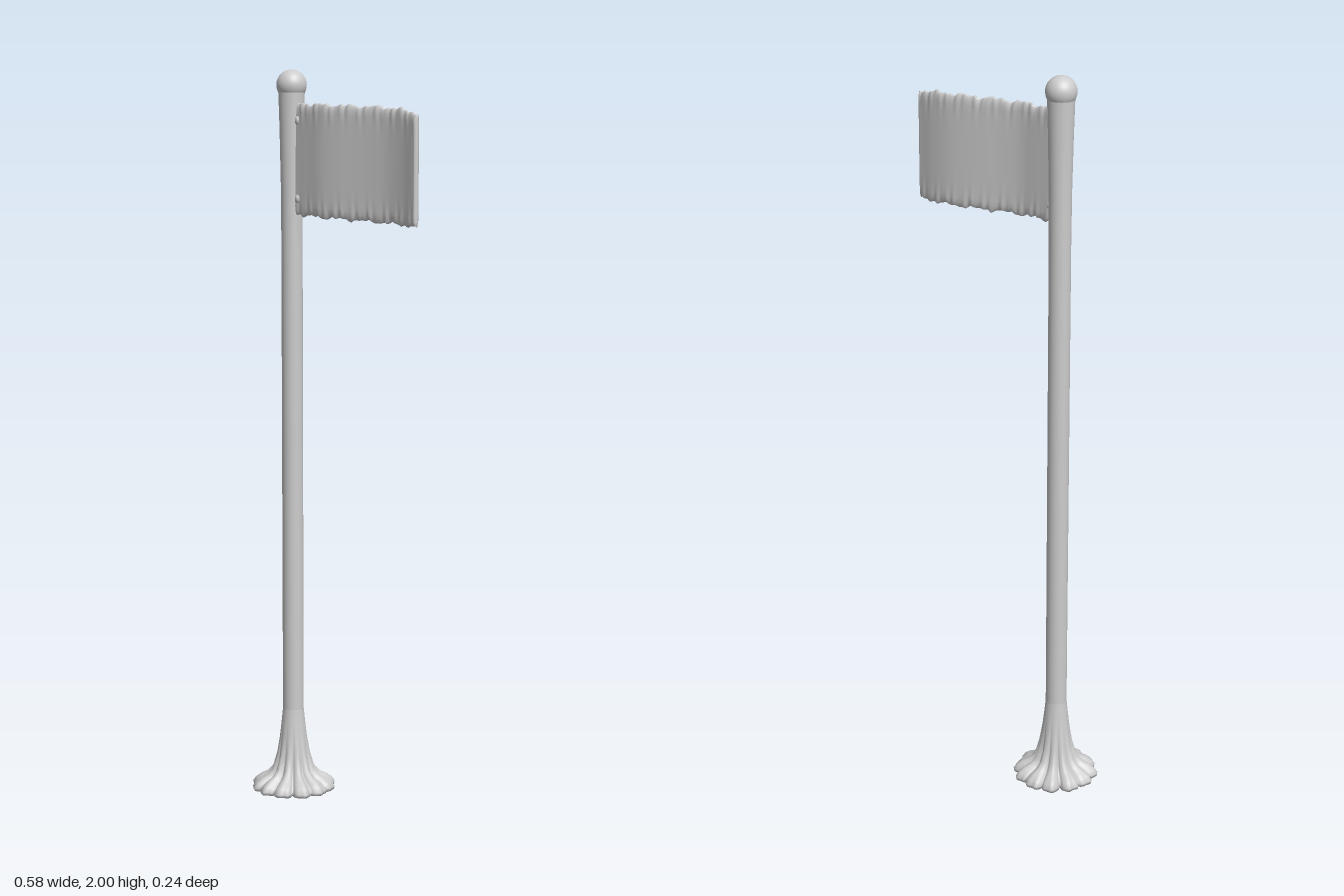
import * as THREE from 'three';
import { mergeVertices } from 'three/addons/utils/BufferGeometryUtils.js';

const POLE_X = -0.172, POLE_Z = -0.003;
const v2 = (p) => new THREE.Vector2(...p);

// Lofts a surface from closed rings: point(i, j) gives [x, y, z]
function loft(rings, sides, point) {
  const pos = [], index = [];
  for (let i = 0; i < rings; i++)
    for (let j = 0; j < sides; j++) pos.push(...point(i, j));
  for (let i = 0; i < rings - 1; i++)
    for (let j = 0; j < sides; j++) {
      const k = (j + 1) % sides;
      const a = i * sides + j, b = i * sides + k, c = a + sides, d = b + sides;
      index.push(a, c, b, b, c, d);
    }
  const geo = new THREE.BufferGeometry();
  geo.setAttribute('position', new THREE.Float32BufferAttribute(pos, 3));
  geo.setIndex(index);
  geo.computeVertexNormals();
  return geo;
}

// Petal outline: 12 pointed lobes with deeper notches on the diagonals
function petal(a) {
  const lobe = Math.pow(Math.abs(Math.cos(6 * a)), 0.5);
  const diagonal = Math.pow(Math.abs(Math.sin(2 * a)), 14);
  const frill = 0.025 * Math.sin(17 * a) + 0.015 * Math.sin(29 * a + 1);
  return 0.86 + 0.14 * lobe - 0.1 * diagonal * (1 - lobe) + frill * 0.7;
}

// Flared foot, round at the pole and scalloped at the rim
function footGeometry() {
  // radius, height, share of the petal outline
  const rows = [[0.029, 0.23, 0], [0.032, 0.2, 0], [0.038, 0.15, 0.1], [0.047, 0.1, 0.2], [0.059, 0.06, 0.4],
    [0.074, 0.043, 0.6], [0.092, 0.034, 0.85], [0.108, 0.022, 1], [0.117, 0.009, 1], [0.115, 0, 1],
    [0.09, 0.002, 1], [0.05, 0.004, 0.5], [0, 0.005, 0]];
  const sides = 144;
  return loft(rows.length, sides, (i, j) => {
    const [r, y, share] = rows[i];
    const a = -(j / sides) * Math.PI * 2;
    const k = 1 + share * (petal(a) - 1);
    // notches between petals sink towards the ground
    const sink = i > 2 && i < 8 ? 0.75 + 0.25 * Math.abs(Math.cos(6 * a)) : 1;
    return [r * k * Math.cos(a), y * sink, r * k * Math.sin(a)];
  });
}

// Waving cloth slab with ragged upper and lower edges
function flagGeometry() {
  const x0 = -0.152, x1 = 0.29, t = 0.0165;
  const wave = new THREE.SplineCurve([[-0.152, 0.001], [-0.08, 0.004], [0, 0.007], [0.05, 0.001], [0.1, -0.009],
    [0.15, -0.018], [0.2, -0.0235], [0.25, -0.021], [0.29, -0.012]].map(v2));
  let geo = new THREE.BoxGeometry(1, 1, 1, 90, 24, 4);
  geo.deleteAttribute('uv');
  geo.deleteAttribute('normal');
  geo = mergeVertices(geo);
  const p = geo.attributes.position;
  for (let i = 0; i < p.count; i++) {
    const u = p.getX(i) + 0.5, v = p.getY(i) * 2, w = p.getZ(i) * 2;
    const c = wave.getPoint(u);
    const rag = (s) => 0.003 * Math.sin(u * 31 + s) + 0.002 * Math.sin(u * 67 + 2 * s) + 0.0015 * Math.sin(u * 113 + s);
    const top = 1.911 - 0.008 * u - 0.013 * Math.pow(u, 8) + rag(0.6);
    const bottom = 1.612 - 0.012 * u - 0.004 * Math.pow(u, 8) + rag(2.7);
    const edge = Math.pow(Math.abs(v), 5);
    // vertical folds deepen near the frayed edges
    const fold = edge * (0.0018 * Math.sin(u * 97 + v) + 0.0012 * Math.sin(u * 151 + 3 * v));
    const round = Math.sqrt(Math.max(0, 1 - 0.6 * Math.pow(Math.abs(v), 20)));
    const endRound = 0.003 * w * w * Math.pow(u, 40);
    const y = THREE.MathUtils.lerp(bottom, top, (v + 1) / 2) - Math.sign(v) * 0.004 * w * w * Math.pow(Math.abs(v), 16);
    p.setXYZ(i, THREE.MathUtils.lerp(x0, x1, u) - endRound, y, c.y + w * t / 2 * round + fold);
  }
  geo.computeVertexNormals();
  return geo;
}

export function createModel() {
  const group = new THREE.Group();
  group.name = 'flagpole';
  const grey = new THREE.MeshStandardMaterial({ color: 0xcccccc });
  grey.name = 'light grey';

  const add = (name, geo, x = 0, y = 0, z = 0) => {
    const mesh = new THREE.Mesh(geo, grey);
    mesh.name = name;
    mesh.position.set(x, y, z);
    group.add(mesh);
    return mesh;
  };

  add('foot', footGeometry(), POLE_X, 0, POLE_Z);

  // Shaft widens slightly towards the ball
  const shaft = [[0.029, 0.2], [0.029, 1.55], [0.03, 1.7], [0.033, 1.85], [0.036, 1.95]].map(v2);
  add('shaft', new THREE.LatheGeometry(shaft, 40), POLE_X, 0, POLE_Z);
  add('ball', new THREE.SphereGeometry(0.041, 40, 28), POLE_X, 1.959, POLE_Z);

  add('flag', flagGeometry());

  // Knots tying the flag to the shaft, and the seam below them
  for (const y of [1.865, 1.655]) {
    add('knot', new THREE.SphereGeometry(0.012, 16, 12), -0.137, y, 0.003).scale.set(0.9, 1.2, 1);
  }
  add('seam', new THREE.CylinderGeometry(0.009, 0.003, 0.36, 12), -0.146, 1.71, 0);

  return group;
}
